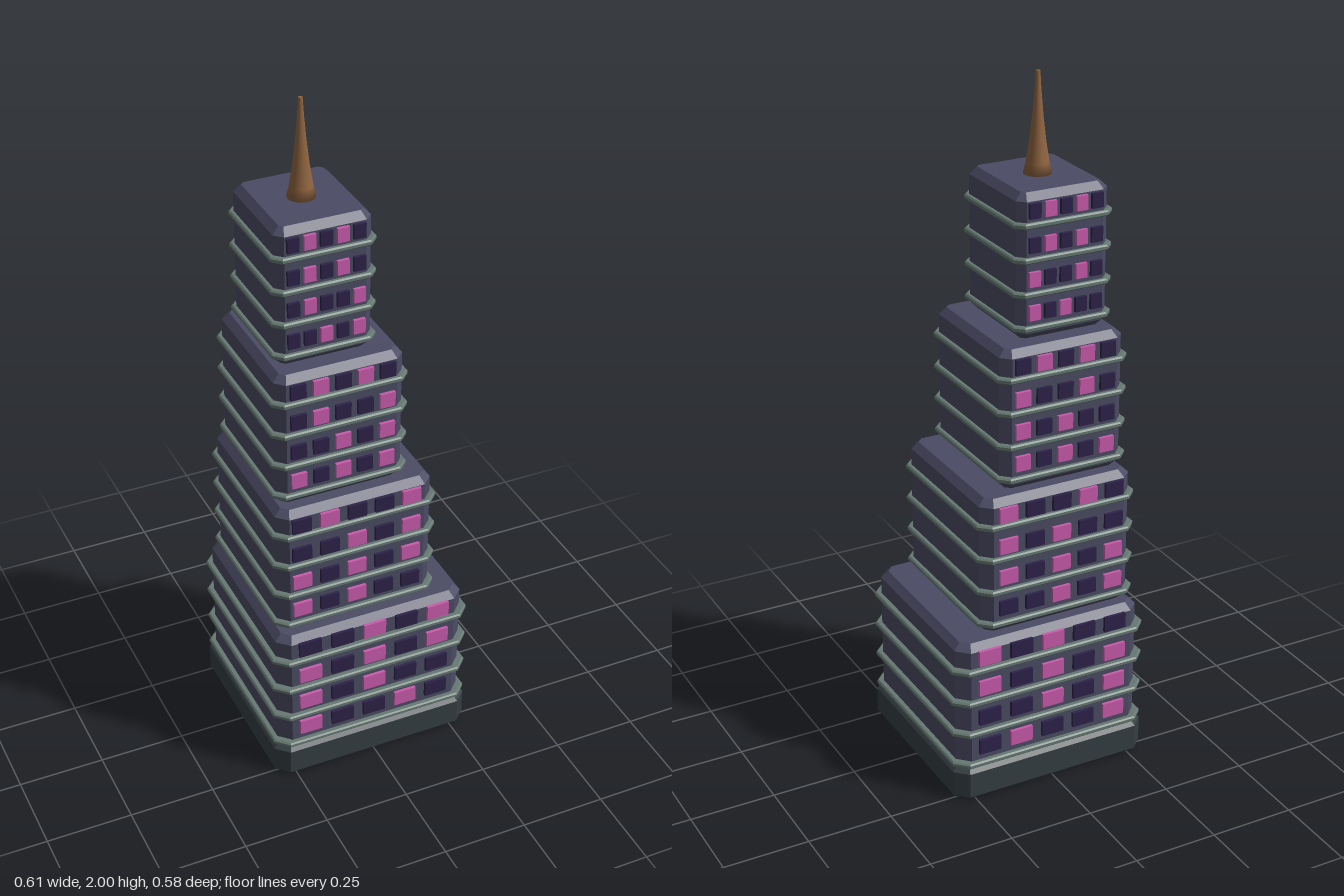
import * as THREE from 'three';

const material = (name, color) => {
  const m = new THREE.MeshStandardMaterial({ color });
  m.name = name;
  return m;
};

// Octagonal (corner-cut rectangle) block with bevelled top and bottom edges.
function bevelBlock(hx, hz, y0, y1, cut, bevel) {
  const ring = (y, inset) => {
    const x = hx - inset, z = hz - inset, c = cut - 0.586 * inset;
    return [[x, z - c], [x - c, z], [c - x, z], [-x, z - c],
      [-x, c - z], [c - x, -z], [x - c, -z], [x, c - z]].map(p => [p[0], y, p[1]]);
  };
  const rings = [ring(y0, bevel), ring(y0 + bevel, 0), ring(y1 - bevel, 0), ring(y1, bevel)];
  const pos = [];
  const tri = (a, b, c) => pos.push(...a, ...b, ...c);
  for (let r = 0; r < 3; r++) {
    for (let i = 0; i < 8; i++) {
      const j = (i + 1) % 8;
      const a = rings[r][i], b = rings[r][j], c = rings[r + 1][j], d = rings[r + 1][i];
      tri(a, c, b);
      tri(a, d, c);
    }
  }
  for (let i = 1; i < 7; i++) {
    tri(rings[0][0], rings[0][i], rings[0][i + 1]);
    tri(rings[3][0], rings[3][i + 1], rings[3][i]);
  }
  const g = new THREE.BufferGeometry();
  g.setAttribute('position', new THREE.Float32BufferAttribute(pos, 3));
  g.computeVertexNormals();
  return g;
}

// Window rows run top to bottom; P is lit, D is dark.
const TIERS = [
  { x: 0, hx: 0.29, hz: 0.273, y0: 0.09, y1: 0.49, cut: 0.034, lip: 0.016, ledge: 0.111, step: 0.1,
    win: [0, 0.1, 0.068, 0.046], row: 0.163, rowStep: 0.0955,
    lit: ['DDPDP', 'PDPDP', 'PDPDD', 'PDDPD'] },
  { x: -0.038, hx: 0.235, hz: 0.24, y0: 0.49, y1: 0.9, cut: 0.03, lip: 0.013, ledge: 0.522, step: 0.1,
    win: [-0.042, 0.083, 0.056, 0.044], row: 0.57, rowStep: 0.0955,
    lit: ['DPDDP', 'DDPDP', 'PDPDP', 'PDPDD'] },
  { x: -0.07, hx: 0.188, hz: 0.205, y0: 0.9, y1: 1.31, cut: 0.026, lip: 0.013, ledge: 0.935, step: 0.098,
    win: [-0.069, 0.0653, 0.045, 0.044], row: 0.982, rowStep: 0.0945,
    lit: ['DPDPD', 'DPDDP', 'DDPDP', 'PDPDP'] },
  { x: -0.094, hx: 0.138, hz: 0.154, y0: 1.31, y1: 1.72, cut: 0.022, lip: 0.012, ledge: 1.345, step: 0.0967,
    win: [-0.094, 0.047, 0.034, 0.042], row: 1.39, rowStep: 0.095,
    lit: ['DPDPD', 'DPDPD', 'DPDDP', 'DDPDP'] },
];

export function createModel() {
  const root = new THREE.Group();
  root.name = 'tower';
  const wall = material('slateWall', 0x4b4b64);
  const trim = material('greyGreenTrim', 0x667872);
  const stone = material('darkBaseStone', 0x353e42);
  const dark = material('darkGlass', 0x2d2249);
  const lit = material('litGlass', 0xc95bac);
  const copper = material('copperSpire', 0x8f643f);

  const add = (parent, name, geometry, mat, x = 0, y = 0, z = 0) => {
    const mesh = new THREE.Mesh(geometry, mat);
    mesh.name = name;
    mesh.position.set(x, y, z);
    parent.add(mesh);
  };

  // Plinth
  add(root, 'base', bevelBlock(0.306, 0.29, 0, 0.1, 0.036, 0.012), stone);

  // Stepped tiers
  TIERS.forEach((t, n) => {
    const tier = new THREE.Group();
    tier.name = `tier${n + 1}`;
    root.add(tier);
    add(tier, 'tierBody', bevelBlock(t.hx, t.hz, t.y0, t.y1, t.cut, 0.02), wall, t.x);

    // Floor ledges
    const ledge = bevelBlock(t.hx + t.lip, t.hz + t.lip, -0.008, 0.008, t.cut + 0.003, 0.004);
    for (let i = 0; i < 4; i++) add(tier, 'ledge', ledge, trim, t.x, t.ledge + i * t.step);

    // Windows on front and back
    const [cx, pitch, w, h] = t.win;
    const pane = new THREE.BoxGeometry(w, h, 0.0098);
    t.lit.forEach((row, r) => {
      [...row].forEach((c, i) => {
        for (const side of [1, -1]) {
          add(tier, c === 'P' ? 'litWindow' : 'darkWindow', pane, c === 'P' ? lit : dark,
            cx + (i - 2) * pitch, t.row + (3 - r) * t.rowStep, side * (t.hz + 0.0047));
        }
      });
    });
  });

  // Spire
  const profile = [[0, 1.715], [0.04, 1.715], [0.032, 1.752], [0.023, 1.81],
    [0.015, 1.88], [0.009, 1.95], [0.006, 2]].map(p => new THREE.Vector2(...p));
  add(root, 'spire', new THREE.LatheGeometry(profile, 24), copper, -0.094);
  const tip = new THREE.CircleGeometry(0.006, 24);
  tip.rotateX(-Math.PI / 2);
  add(root, 'spireTip', tip, copper, -0.094, 2, 0);
  return root;
}
